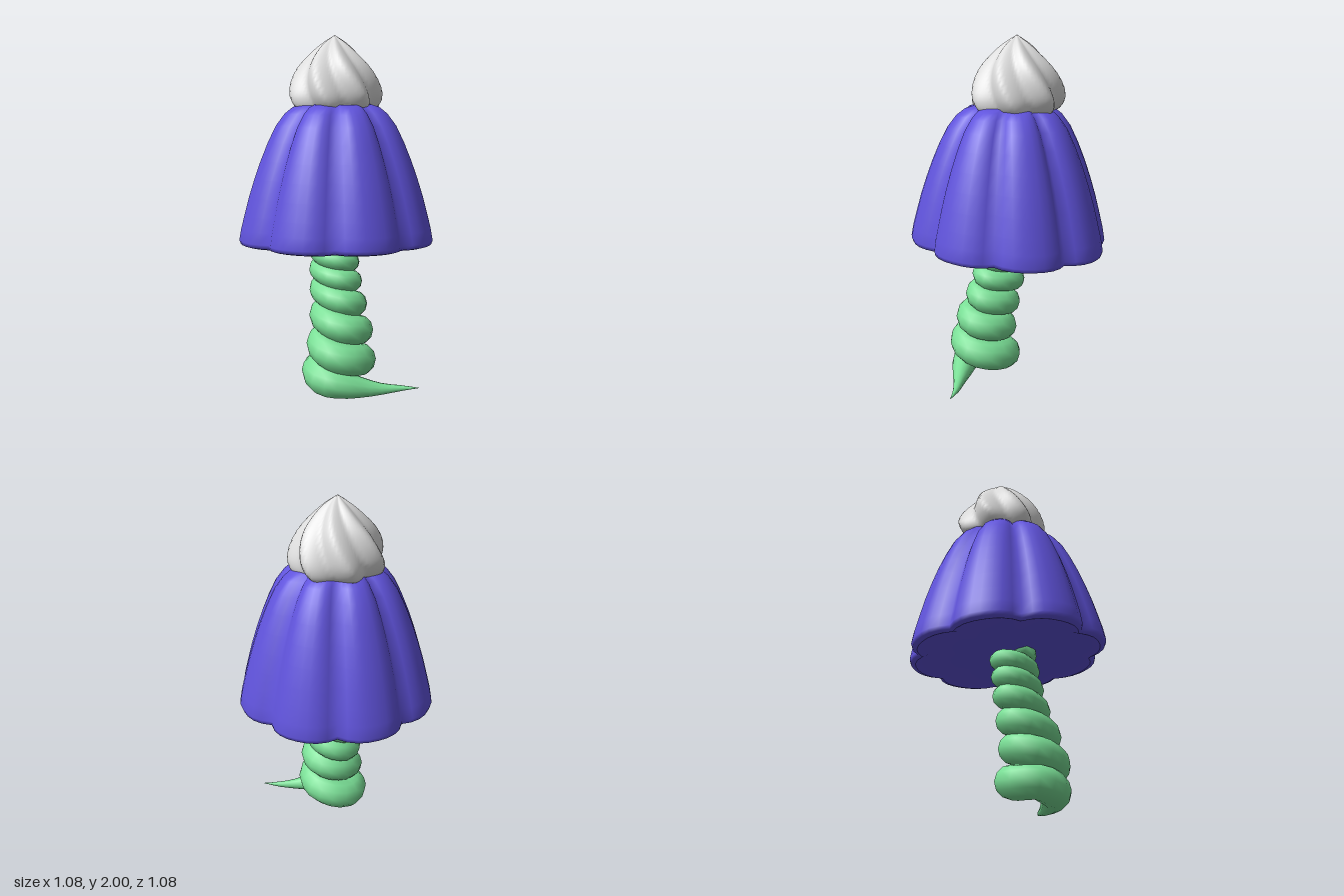
import * as THREE from 'three';

const mat = (name, color) => {
  const m = new THREE.MeshStandardMaterial({ color });
  m.name = name;
  return m;
};

// Smooth surface from rows of closed loops; point(row, col) returns [x, y, z]
function loft(name, rows, cols, point, material) {
  const pos = [], idx = [];
  for (let i = 0; i < rows; i++) {
    for (let j = 0; j < cols; j++) {
      pos.push(...point(i, j));
      if (i === rows - 1) continue;
      const a = i * cols + j, c = i * cols + ((j + 1) % cols);
      idx.push(a, a + cols, c, a + cols, c + cols, c);
    }
  }
  const g = new THREE.BufferGeometry();
  g.setAttribute('position', new THREE.Float32BufferAttribute(pos, 3));
  g.setIndex(idx);
  g.computeVertexNormals();
  const mesh = new THREE.Mesh(g, material);
  mesh.name = name;
  return mesh;
}

// Eight-lobed bell: rows are [lobe radius, height, valley depth]
function bellSurface(name, profile, material) {
  const cols = 64;
  return loft(name, profile.length, cols, (i, j) => {
    const [R, y, depth] = profile[i];
    const a = (j / cols) * Math.PI * 2;
    const r = R * (1 - depth * (1 - Math.abs(Math.sin(4 * a))) ** 1.5);
    const x = r * Math.cos(a), z = r * Math.sin(a);
    const tilt = 0.04 * (x + z) * THREE.MathUtils.clamp((1.6 - y) / 0.74, 0, 1);
    return [x, y + tilt, z];
  }, material);
}

// Seven-pointed swirled cream, twisting toward the tip
function cream(material) {
  const profile = new THREE.CatmullRomCurve3([
    [0, 1.6], [0.225, 1.595], [0.255, 1.62], [0.27, 1.67], [0.255, 1.74], [0.212, 1.82],
    [0.15, 1.89], [0.075, 1.955], [0.002, 2],
  ].map(([r, y]) => new THREE.Vector3(r, y, 0)));
  const rows = 33, cols = 84;
  return loft('swirledCream', rows, cols, (i, j) => {
    const p = profile.getPoint(i / (rows - 1));
    const a = (j / cols) * Math.PI * 2;
    const ridge = THREE.MathUtils.degToRad(4.5 + 42 * (p.y - 1.65) / 0.35);
    // straight-sided points with softened tips and valleys
    const wave = Math.acos(0.97 * Math.cos(7 * (a - ridge))) / Math.PI;
    const r = Math.max(p.x, 0) * (1.015 - 0.25 * wave);
    return [-0.034 + r * Math.cos(a), p.y, -0.021 + r * Math.sin(a)];
  }, material);
}

// Coiled stem: one tapering tube that winds down and ends in a pointed tail
function stem(material) {
  // per turn, from the lowest: axis x, y, z, coil radius x, coil radius z, tube radius
  const turns = [
    [0.115, 0.12, 0.09, 0.125, 0.118, 0.092],
    [0.128, 0.305, 0.085, 0.112, 0.104, 0.086],
    [0.093, 0.455, 0.065, 0.104, 0.08, 0.079],
    [0.052, 0.59, 0.05, 0.104, 0.07, 0.067],
    [0.033, 0.7, 0.045, 0.107, 0.072, 0.057],
    [0.016, 0.8, 0.037, 0.096, 0.075, 0.054],
    [0.01, 0.89, 0.035, 0.09, 0.07, 0.05],
  ];
  const at = (n) => {
    const k = THREE.MathUtils.clamp(Math.floor(n), 0, turns.length - 2);
    const f = Math.max(n - k, 0);
    return turns[k].map((v, q) => v + (turns[k + 1][q] - v) * f);
  };
  const centres = [], radii = [];
  const add = (x, y, z, r) => {
    centres.push(new THREE.Vector3(x, y, z));
    radii.push(new THREE.Vector3(r, 0, 0));
  };
  add(0.01, 0.9, 0.035, 0.001);
  for (let n = 5.75; n > -0.2; n -= 0.125) {
    const [x, y, z, cx, cz, r] = at(n);
    const a = Math.PI * (1 + 2 * n);
    add(x + cx * Math.cos(a), y, z + cz * Math.sin(a), r);
  }
  // tail
  [[0.11, 0.1, 0.205, 0.094], [0.2, 0.085, 0.17, 0.083], [0.28, 0.065, 0.09, 0.059],
    [0.36, 0.053, 0, 0.033], [0.43, 0.055, -0.08, 0.017], [0.51, 0.06, -0.15, 0.001],
  ].forEach((p) => add(...p));

  const path = new THREE.CatmullRomCurve3(centres, false, 'centripetal');
  const size = new THREE.CatmullRomCurve3(radii, false, 'catmullrom', 0.5);
  const rows = (centres.length - 1) * 2 + 1, cols = 12;
  const up = new THREE.Vector3(0, 1, 0);
  const frames = Array.from({ length: rows }, (_, i) => {
    const t = i / (rows - 1);
    const T = path.getTangent(t);
    const S = new THREE.Vector3().crossVectors(T, up).normalize();
    const U = new THREE.Vector3().crossVectors(S, T);
    return { c: path.getPoint(t), r: Math.max(size.getPoint(t).x, 0.001), S, U };
  });
  return loft('coiledStem', rows, cols, (i, j) => {
    const { c, r, S, U } = frames[i];
    const a = (j / cols) * Math.PI * 2;
    return c.clone().addScaledVector(S, r * Math.cos(a)).addScaledVector(U, r * Math.sin(a)).toArray();
  }, material);
}

export function createModel() {
  const purple = mat('petalPurple', 0x6053dc);
  const green = mat('stemGreen', 0x7adf96);
  const white = mat('creamWhite', 0xdcdcdc);

  const model = new THREE.Group();
  model.name = 'bellFlower';
  model.add(
    bellSurface('bell', [
      [0.525, 0.845, 0.1], [0.552, 0.853, 0.105], [0.56, 0.875, 0.11], [0.548, 0.94, 0.11],
      [0.527, 1.02, 0.112], [0.5, 1.12, 0.118], [0.468, 1.22, 0.125], [0.432, 1.32, 0.135],
      [0.39, 1.42, 0.15], [0.345, 1.51, 0.17], [0.295, 1.575, 0.195], [0.25, 1.61, 0.2],
      [0.2, 1.625, 0.18], [0.12, 1.625, 0.1], [0, 1.62, 0],
    ], purple),
    bellSurface('bellUnderside', [[0, 0.865, 0], [0.25, 0.865, 0.05], [0.48, 0.862, 0.1], [0.525, 0.845, 0.1]], purple),
    cream(white),
    stem(green),
  );
  return model;
}
